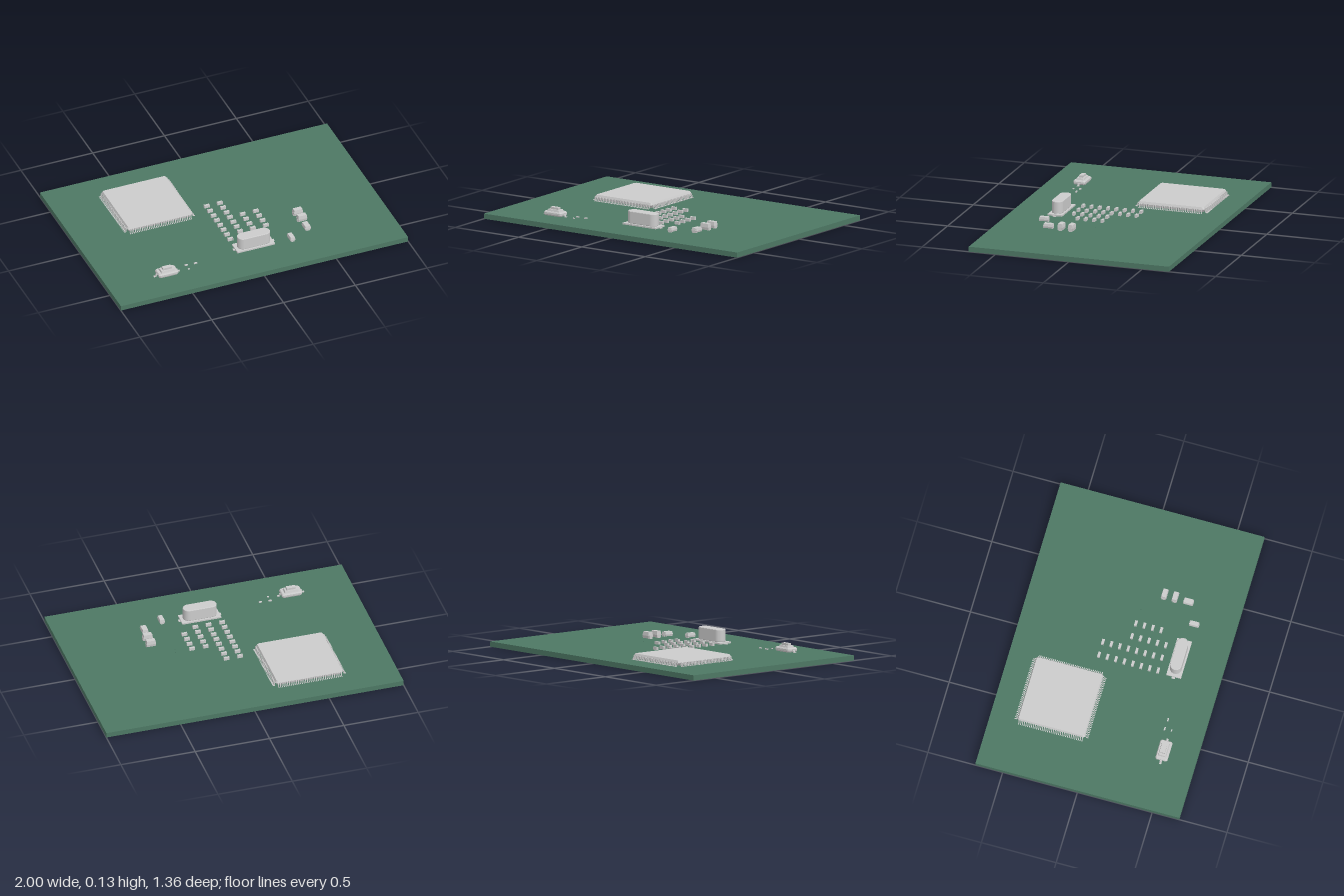
import * as THREE from 'three';
import { mergeGeometries } from 'three/addons/utils/BufferGeometryUtils.js';

const TOP = 0.034; // upper face of the board
const grey = new THREE.MeshStandardMaterial({ color: 0xcccccc });
const green = new THREE.MeshStandardMaterial({ color: 0x4d7864 });

function add(parent, name, geometry, material = grey) {
  const mesh = new THREE.Mesh(geometry, material);
  mesh.name = name;
  parent.add(mesh);
  return mesh;
}

function subgroup(parent, name, x, z, y = TOP) {
  const g = new THREE.Group();
  g.name = name;
  g.position.set(x, y, z);
  parent.add(g);
  return g;
}

function box(w, h, d, x, y, z) {
  return new THREE.BoxGeometry(w, h, d).translate(x, y, z);
}

// Moulded body: rectangles [y, width, depth, cornerCut] joined from bottom to top
function loft(levels) {
  const rings = levels.map(([y, w, d, c = 0.001]) => {
    const a = w / 2, b = d / 2;
    return [[a, b - c], [a, c - b], [a - c, -b], [c - a, -b], [-a, c - b], [-a, b - c], [c - a, b], [a - c, b]]
      .map(([x, z]) => [x, y, z]);
  });
  const p = [];
  const n = 8;
  for (let k = 0; k < rings.length - 1; k++) {
    for (let i = 0; i < n; i++) {
      const j = (i + 1) % n, lo = rings[k], hi = rings[k + 1];
      p.push(...lo[i], ...lo[j], ...hi[j], ...lo[i], ...hi[j], ...hi[i]);
    }
  }
  const first = rings[0], last = rings[rings.length - 1];
  for (let i = 1; i < n - 1; i++) {
    p.push(...last[0], ...last[i], ...last[i + 1], ...first[0], ...first[i + 1], ...first[i]);
  }
  const g = new THREE.BufferGeometry();
  g.setAttribute('position', new THREE.Float32BufferAttribute(p, 3));
  g.computeVertexNormals();
  return g;
}

// Bent lead pointing along +x from the origin: shoulder, drop, foot
function gullLead(reach, height, width, t) {
  const m = reach * 0.45;
  const s = new THREE.Shape([
    [0, height], [m, height], [m + t, t], [reach, t], [reach, 0],
    [m, 0], [m - t, height - t], [0, height - t],
  ].map(([x, y]) => new THREE.Vector2(x, y)));
  return new THREE.ExtrudeGeometry(s, { depth: width, bevelEnabled: false }).translate(0, 0, -width / 2);
}

// Upright slab with rounded ends
function stadium(length, depth, height, bevel) {
  const r = depth / 2 - bevel, a = length / 2 - depth / 2;
  const s = new THREE.Shape();
  s.absarc(a, 0, r, -Math.PI / 2, Math.PI / 2, false);
  s.absarc(-a, 0, r, Math.PI / 2, Math.PI * 1.5, false);
  s.closePath();
  return new THREE.ExtrudeGeometry(s, {
    depth: height - 2 * bevel, bevelThickness: bevel, bevelSize: bevel,
    bevelSegments: 2, curveSegments: 16,
  }).rotateX(-Math.PI / 2).translate(0, bevel, 0);
}

// Two-terminal part: body with metal end caps, long side along x
function passive(parent, name, x, z, w, d, h, turned = false) {
  const g = subgroup(parent, name, x, z);
  if (turned) g.rotation.y = Math.PI / 2;
  const cap = w * 0.2;
  add(g, 'body', box(w - 2 * cap, h * 0.94, d * 0.95, 0, h * 0.47, 0));
  for (const s of [-1, 1]) add(g, 'endCap', box(cap, h, d, s * (w - cap) / 2, h / 2, 0));
}

// Moulded two-terminal part with tapered sides and folded terminals
function moulded(parent, name, x, z, w, d, h, turned = false) {
  const g = subgroup(parent, name, x, z);
  if (turned) g.rotation.y = Math.PI / 2;
  add(g, 'body', loft([[0.003, w * 0.9, d * 0.88], [h * 0.45, w * 0.95, d], [h, w * 0.86, d * 0.82]]));
  for (const s of [-1, 1]) {
    add(g, 'terminal', mergeGeometries([
      box(w * 0.04, h * 0.5, d * 0.6, s * w * 0.48, h * 0.25, 0),
      box(w * 0.24, 0.003, d * 0.6, s * w * 0.38, 0.0015, 0),
    ]));
  }
}

function buildChip(parent) {
  const chip = subgroup(parent, 'quadFlatChip', -0.423, -0.277);
  add(chip, 'body', loft([
    [0.005, 0.435, 0.435, 0.008], [0.021, 0.45, 0.45, 0.008],
    [0.025, 0.45, 0.45, 0.008], [0.038, 0.438, 0.438, 0.008],
  ]));
  const count = 36, pitch = 0.0121;
  for (let side = 0; side < 4; side++) {
    const leads = [];
    for (let i = 0; i < count; i++) {
      leads.push(gullLead(0.026, 0.024, 0.0055, 0.003).translate(0.22, 0, (i - (count - 1) / 2) * pitch));
    }
    add(chip, 'leadRow', mergeGeometries(leads)).rotation.y = side * Math.PI / 2;
  }
}

function buildCrystal(parent) {
  const crystal = subgroup(parent, 'crystalOscillator', 0.047, 0.382);
  add(crystal, 'base', box(0.262, 0.01, 0.098, 0, 0.007, 0));
  add(crystal, 'can', stadium(0.225, 0.076, 0.081, 0.004)).position.y = 0.012;
  for (const s of [-1, 1]) add(crystal, 'lead', box(0.05, 0.004, 0.022, s * 0.118, 0.002, 0));
}

function buildButton(parent) {
  const button = subgroup(parent, 'pushButton', -0.59, 0.462);
  add(button, 'body', loft([
    [0.004, 0.128, 0.074, 0.008], [0.012, 0.136, 0.08, 0.008],
    [0.024, 0.136, 0.08, 0.008], [0.031, 0.126, 0.07, 0.008],
  ]));
  add(button, 'collar', loft([[0.03, 0.095, 0.054, 0.003], [0.043, 0.087, 0.046, 0.003]]));
  add(button, 'plunger', box(0.06, 0.018, 0.027, 0, 0.048, 0));
  for (const s of [0, 1]) {
    add(button, 'lead', gullLead(0.028, 0.018, 0.014, 0.004).translate(0.062, 0, 0)).rotation.y = s * Math.PI;
  }
}

export function createModel() {
  const model = new THREE.Group();
  model.name = 'circuitBoard';
  add(model, 'board', box(2, TOP, 1.364, 0, TOP / 2, 0), green);
  buildChip(model);
  buildCrystal(model);
  buildButton(model);

  // Grid of small capacitors: [x, first row, last row]
  for (const [x, from, to] of [[-0.071, 0, 7], [0.02, 0, 7], [0.109, 3, 7], [0.2, 3, 6]]) {
    for (let row = from; row <= to; row++) {
      passive(model, 'smallCapacitor', x, -0.12 + row * 0.0565, 0.036, 0.017, 0.02);
    }
  }

  // Larger parts on the model's left
  moulded(model, 'tantalumCapacitor', 0.44, 0.174, 0.066, 0.037, 0.044);
  moulded(model, 'tantalumCapacitor', 0.44, 0.245, 0.066, 0.037, 0.044);
  moulded(model, 'diode', 0.434, 0.335, 0.066, 0.042, 0.031, true);
  moulded(model, 'diode', 0.297, 0.412, 0.066, 0.035, 0.03, true);

  // Tiny resistors beside the button
  passive(model, 'tinyResistor', -0.44, 0.425, 0.022, 0.009, 0.008);
  passive(model, 'tinyResistor', -0.376, 0.428, 0.022, 0.009, 0.008);
  passive(model, 'tinyResistor', -0.44, 0.47, 0.012, 0.008, 0.006);

  // Bare solder pads
  for (const x of [0.305, 0.335]) {
    for (const z of [0.055, 0.085]) add(model, 'solderPad', box(0.006, 0.001, 0.006, x, TOP + 0.0005, z), green);
  }
  return model;
}
